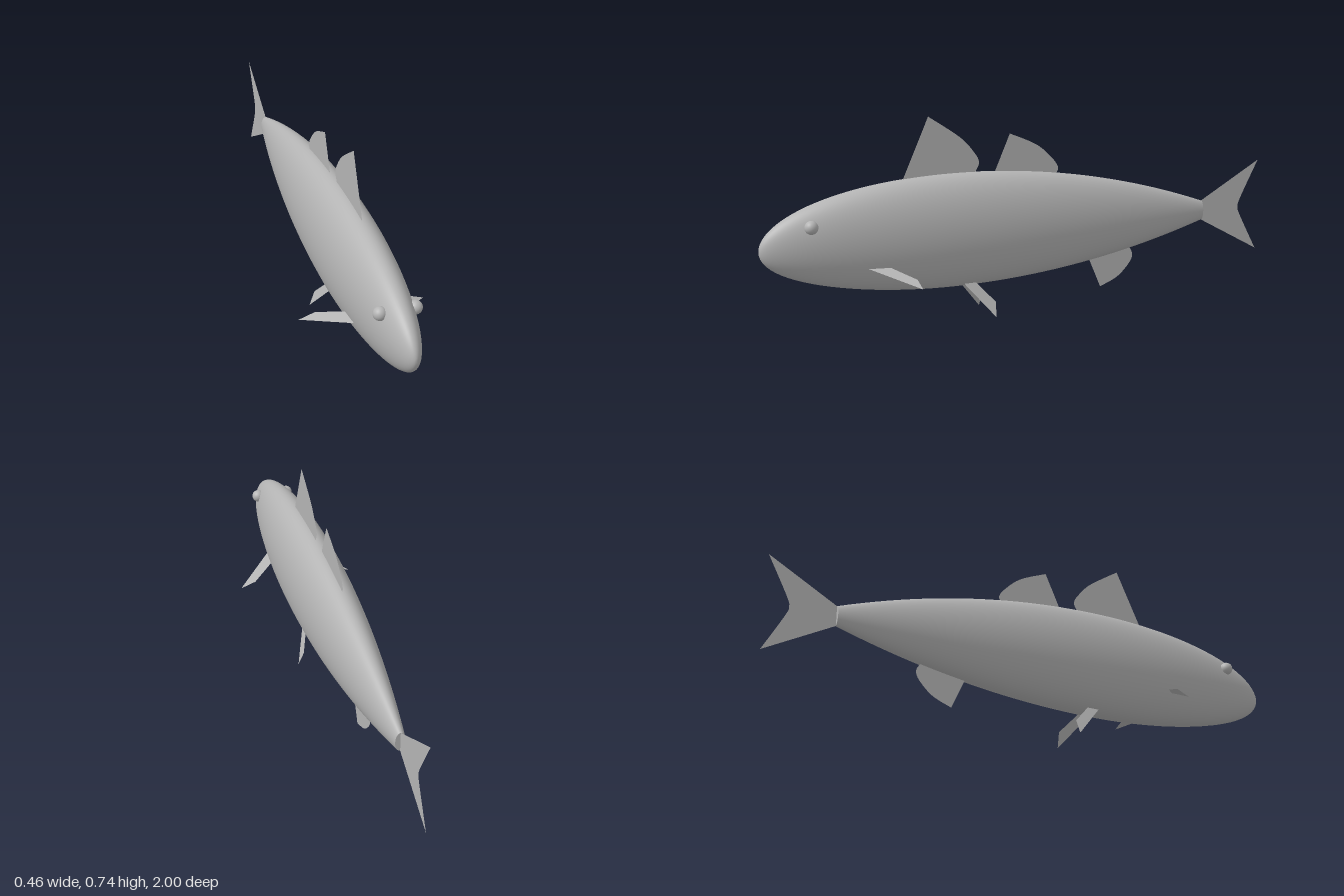
import * as THREE from 'three';
import { mergeVertices } from 'three/addons/utils/BufferGeometryUtils.js';

const skin = new THREE.MeshStandardMaterial({ color: 0xb4b4b4, side: THREE.DoubleSide });
skin.name = 'grey skin';

const WIDEST = 0.28, TAIL = -0.745, RADIUS = 0.209;

// Half height of the body: elliptical head, parabolic taper to the tail
function radiusAt(z) {
  if (z >= WIDEST) return RADIUS * Math.sqrt(Math.max(0, 1 - ((z - WIDEST) / (1 - WIDEST)) ** 2));
  return RADIUS * (1 - 0.82 * ((WIDEST - z) / (WIDEST - TAIL)) ** 2);
}

// Height of the body axis
function axisAt(z) {
  return z >= WIDEST
    ? 0.323 - 0.014 * ((z - WIDEST) / (1 - WIDEST)) ** 4
    : 0.323 - 0.015 * ((WIDEST - z) / (WIDEST - TAIL)) ** 2;
}

function add(group, name, geometry) {
  const mesh = new THREE.Mesh(geometry, skin);
  mesh.name = name;
  group.add(mesh);
  return mesh;
}

function bodyGeometry() {
  const profile = [];
  for (let i = 0; i <= 24; i++) {
    const z = TAIL + (WIDEST - TAIL) * i / 24;
    profile.push(new THREE.Vector2(radiusAt(z), z));
  }
  for (let i = 1; i <= 24; i++) {
    const z = WIDEST + (1 - WIDEST) * Math.sin(i / 24 * Math.PI / 2);
    profile.push(new THREE.Vector2(i === 24 ? 0 : radiusAt(z), z));
  }
  let g = new THREE.LatheGeometry(profile, 64);
  g.rotateX(Math.PI / 2).scale(0.5, 1, 1);
  const p = g.attributes.position;
  for (let i = 0; i < p.count; i++) p.setY(i, p.getY(i) + axisAt(p.getZ(i)));
  g.deleteAttribute('uv');
  g.deleteAttribute('normal');
  g = mergeVertices(g, 1e-5);
  g.computeVertexNormals();
  return g;
}

// Upright fin on the centre plane; points are [z, y]: a straight root and lead, then a curved edge
function uprightFin(root, curve) {
  const shape = new THREE.Shape();
  shape.moveTo(...root[0]);
  shape.lineTo(...curve[0]);
  shape.splineThru(curve.slice(1).map(([z, y]) => new THREE.Vector2(z, y)));
  shape.lineTo(...root[1]);
  return new THREE.ShapeGeometry(shape).rotateY(-Math.PI / 2);
}

// Flat four-cornered fin, mirrored by side
function pairedFin(corners, side) {
  const g = new THREE.BufferGeometry();
  const pos = corners.flatMap(([x, y, z]) => [x * side, y, z]);
  g.setAttribute('position', new THREE.Float32BufferAttribute(pos, 3));
  g.setIndex([0, 1, 2, 0, 2, 3]);
  g.computeVertexNormals();
  return g;
}

export function createModel() {
  const fish = new THREE.Group();
  fish.name = 'fish';

  add(fish, 'body', bodyGeometry());
  const cap = add(fish, 'tailStump', new THREE.CircleGeometry(1, 48).rotateY(Math.PI));
  cap.scale.set(radiusAt(TAIL) / 2, radiusAt(TAIL), 1);
  cap.position.set(0, axisAt(TAIL), TAIL);

  // Fins on the centre line
  add(fish, 'frontDorsalFin', uprightFin([[0.488, 0.5], [0.21, 0.5]],
    [[0.38, 0.742], [0.26, 0.66], [0.205, 0.6], [0.188, 0.565], [0.2, 0.535]]));
  add(fish, 'rearDorsalFin', uprightFin([[0.138, 0.5], [-0.1, 0.46]],
    [[0.067, 0.662], [-0.04, 0.614], [-0.105, 0.557], [-0.127, 0.523], [-0.12, 0.503]]));
  add(fish, 'analFin', uprightFin([[-0.245, 0.19], [-0.41, 0.21]],
    [[-0.307, 0.046], [-0.38, 0.078], [-0.43, 0.126], [-0.444, 0.158], [-0.435, 0.182]]));
  add(fish, 'tailFin', uprightFin([[-0.745, 0.346], [-0.745, 0.27]],
    [[-1, 0.49], [-0.926, 0.347], [-0.914, 0.308], [-0.926, 0.27], [-1, 0.131]]));

  // Paired fins and eyes
  for (const [label, side] of [['left', 1], ['right', -1]]) {
    add(fish, label + 'PectoralFin', pairedFin(
      [[0.07, 0.235, 0.643], [0.228, 0.18, 0.487], [0.169, 0.2, 0.487], [0.07, 0.235, 0.568]], side));
    add(fish, label + 'PelvicFin', pairedFin(
      [[0.028, 0.15, 0.282], [0.088, 0.002, 0.158], [0.067, 0.056, 0.153], [0.028, 0.15, 0.238]], side));
    const eye = add(fish, label + 'Eye', new THREE.SphereGeometry(0.024, 24, 16));
    eye.position.set(0.06 * side, 0.393, 0.828);
  }
  return fish;
}
